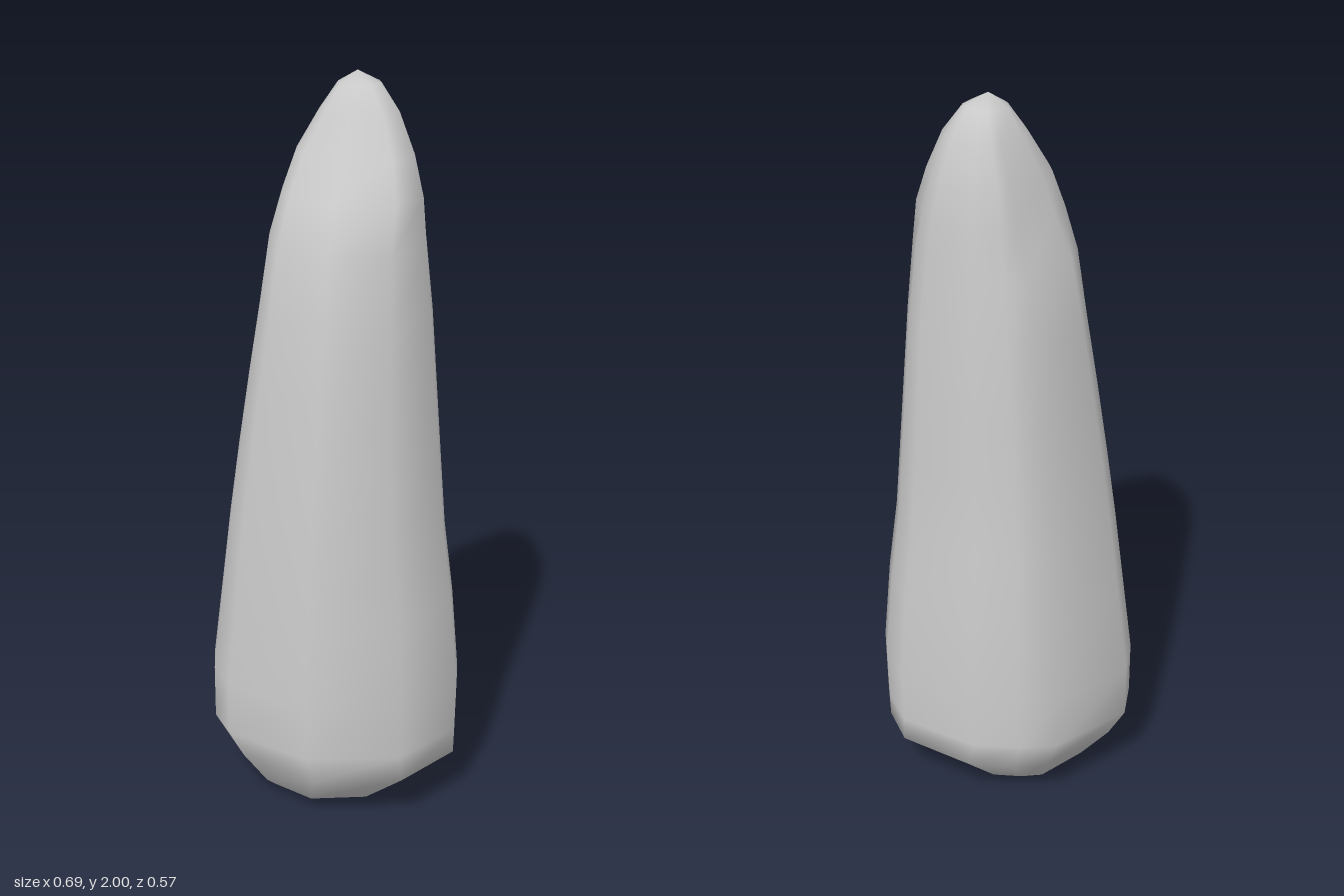
import * as THREE from 'three';

// Faceted plan outline of the rock, anticlockwise from the front (x, z)
const OUTLINE = [
  [-0.04, 0.286], [0.21, 0.242], [0.345, 0.07], [0.34, -0.02], [0.30, -0.14],
  [0.11, -0.268], [-0.02, -0.286], [-0.12, -0.28], [-0.32, -0.145],
  [-0.345, -0.03], [-0.325, 0.08], [-0.27, 0.17],
].map(([x, z]) => [x / 0.345, z / 0.286]);

// Level: height, x from/to, z from/to, diagonal lean of the corners
const LEVELS = [
  [0.01, -0.19, 0.12, -0.10, 0.15, 0],
  [0.035, -0.22, 0.19, -0.19, 0.20, 0],
  [0.14, -0.30, 0.34, -0.275, 0.283, 0],
  [0.21, -0.345, 0.342, -0.282, 0.285, 0],
  [0.36, -0.345, 0.345, -0.282, 0.285, 0],
  [0.60, -0.315, 0.325, -0.27, 0.275, 0],
  [0.80, -0.29, 0.30, -0.255, 0.265, 0],
  [1.00, -0.262, 0.285, -0.24, 0.25, 0],
  [1.20, -0.232, 0.27, -0.23, 0.235, 0],
  [1.40, -0.20, 0.255, -0.215, 0.215, 0],
  [1.58, -0.175, 0.235, -0.198, 0.18, 0.01],
  [1.70, -0.145, 0.215, -0.185, 0.13, 0.035],
  [1.80, -0.11, 0.19, -0.168, 0.07, 0.03],
  [1.90, -0.05, 0.155, -0.135, 0.03, 0.015],
  [1.97, 0.00, 0.11, -0.10, -0.005, 0],
];

function spireGeometry() {
  const n = OUTLINE.length, rings = LEVELS.length;
  const pos = [], index = [];
  for (const [y, x0, x1, z0, z1, lean] of LEVELS) {
    for (const [u, v] of OUTLINE) {
      const shift = lean * Math.max(0, 2 * u * v) * 0.7;
      pos.push((x0 + x1) / 2 + u * (x1 - x0) / 2 + shift, y,
        (z0 + z1) / 2 + v * (z1 - z0) / 2 + shift);
    }
  }
  // Side faces between neighbouring rings
  for (let r = 0; r < rings - 1; r++) {
    for (let i = 0; i < n; i++) {
      const a = r * n + i, b = r * n + (i + 1) % n;
      index.push(a, b, b + n, a, b + n, a + n);
    }
  }
  // Underside and tip
  const bottom = n * rings, tip = bottom + 1, last = n * (rings - 1);
  pos.push(-0.03, 0, 0.02, 0.05, 2, -0.05);
  for (let i = 0; i < n; i++) {
    const j = (i + 1) % n;
    index.push(bottom, j, i, tip, last + i, last + j);
  }
  const geometry = new THREE.BufferGeometry();
  geometry.setAttribute('position', new THREE.Float32BufferAttribute(pos, 3));
  geometry.setIndex(index);
  geometry.computeVertexNormals();
  return geometry;
}

export function createModel() {
  const group = new THREE.Group();
  group.name = 'rockSpire';
  const rock = new THREE.Mesh(spireGeometry(), new THREE.MeshStandardMaterial({ color: 0xcccccc }));
  rock.name = 'rock';
  group.add(rock);
  return group;
}
